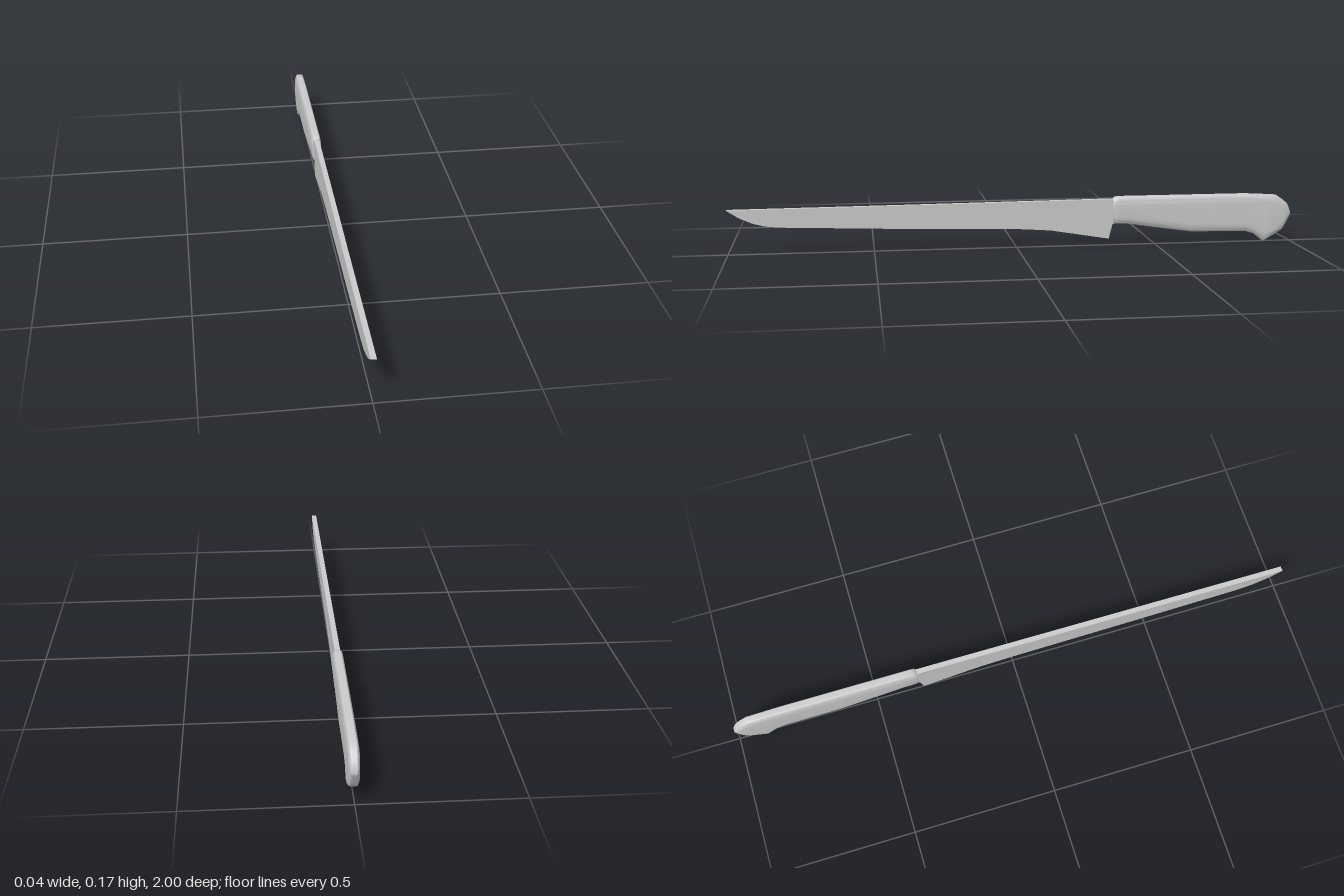
import * as THREE from 'three';
import { toCreasedNormals } from 'three/addons/utils/BufferGeometryUtils.js';

const material = new THREE.MeshStandardMaterial({ color: 0xcccccc });

// Flat blade: side outline as [z, y], extruded across x
function createBlade() {
  const thickness = 0.018;
  const outline = [
    [1, 0.157], [0.957, 0.129], [0.91, 0.109], [0.87, 0.099], [0.82, 0.094],
    [0.46, 0.081], [-0.02, 0.067], [-0.12, 0.06], [-0.33, 0.025],
    [-0.343, 0.077], [-0.36, 0.085], [-0.36, 0.167], [-0.3, 0.167], [0.4, 0.161],
  ];
  const shape = new THREE.Shape(outline.map(([z, y]) => new THREE.Vector2(z, y)));
  const geometry = new THREE.ExtrudeGeometry(shape, { depth: thickness, bevelEnabled: false });
  geometry.translate(0, 0, -thickness / 2).rotateY(-Math.PI / 2);
  const mesh = new THREE.Mesh(geometry, material);
  mesh.name = 'blade';
  return mesh;
}

// Tall rounded section, counter-clockwise seen from the front
function sectionRing([z, bottom, top, halfWidth], steps = 6) {
  const points = [];
  const rx = halfWidth * 0.6;
  const ry = Math.min(0.032, (top - bottom) * 0.45);
  const corners = [[1, top - ry], [-1, top - ry], [-1, bottom + ry], [1, bottom + ry]];
  corners.forEach(([side, cy], k) => {
    for (let i = 0; i <= steps; i++) {
      const a = (k + i / steps) * Math.PI / 2;
      points.push([side * (halfWidth - rx) + rx * Math.cos(a), cy + ry * Math.sin(a), z]);
    }
  });
  return points;
}

// Handle: sections [z, bottom, top, half width] skinned from bolster to butt
function createHandle() {
  const rings = [
    [-0.345, 0.082, 0.168, 0.0155], [-0.352, 0.079, 0.174, 0.0175],
    [-0.365, 0.078, 0.176, 0.018], [-0.4, 0.077, 0.176, 0.018],
    [-0.52, 0.059, 0.176, 0.018], [-0.63, 0.043, 0.176, 0.018],
    [-0.83, 0.04, 0.176, 0.018], [-0.865, 0.03, 0.174, 0.018],
    [-0.9, 0.001, 0.172, 0.018], [-0.945, 0.027, 0.169, 0.018],
    [-0.97, 0.043, 0.152, 0.017], [-0.987, 0.072, 0.138, 0.0145],
    [-0.996, 0.09, 0.118, 0.011], [-1, 0.097, 0.106, 0.008],
  ].map((section) => sectionRing(section));
  const n = rings[0].length;
  const positions = rings.flat(2);
  const index = [];
  for (let i = 0; i < rings.length - 1; i++) {
    for (let j = 0; j < n; j++) {
      const k = (j + 1) % n;
      const a = i * n + j, b = i * n + k, c = a + n, d = b + n;
      index.push(a, c, b, b, c, d);
    }
  }
  // End caps
  const last = (rings.length - 1) * n;
  for (let j = 1; j < n - 1; j++) {
    index.push(0, j, j + 1, last, last + j + 1, last + j);
  }
  const geometry = new THREE.BufferGeometry();
  geometry.setAttribute('position', new THREE.Float32BufferAttribute(positions, 3));
  geometry.setIndex(index);
  const mesh = new THREE.Mesh(toCreasedNormals(geometry, 0.75), material);
  mesh.name = 'handle';
  return mesh;
}

export function createModel() {
  const knife = new THREE.Group();
  knife.name = 'knife';
  knife.add(createBlade(), createHandle());
  return knife;
}
